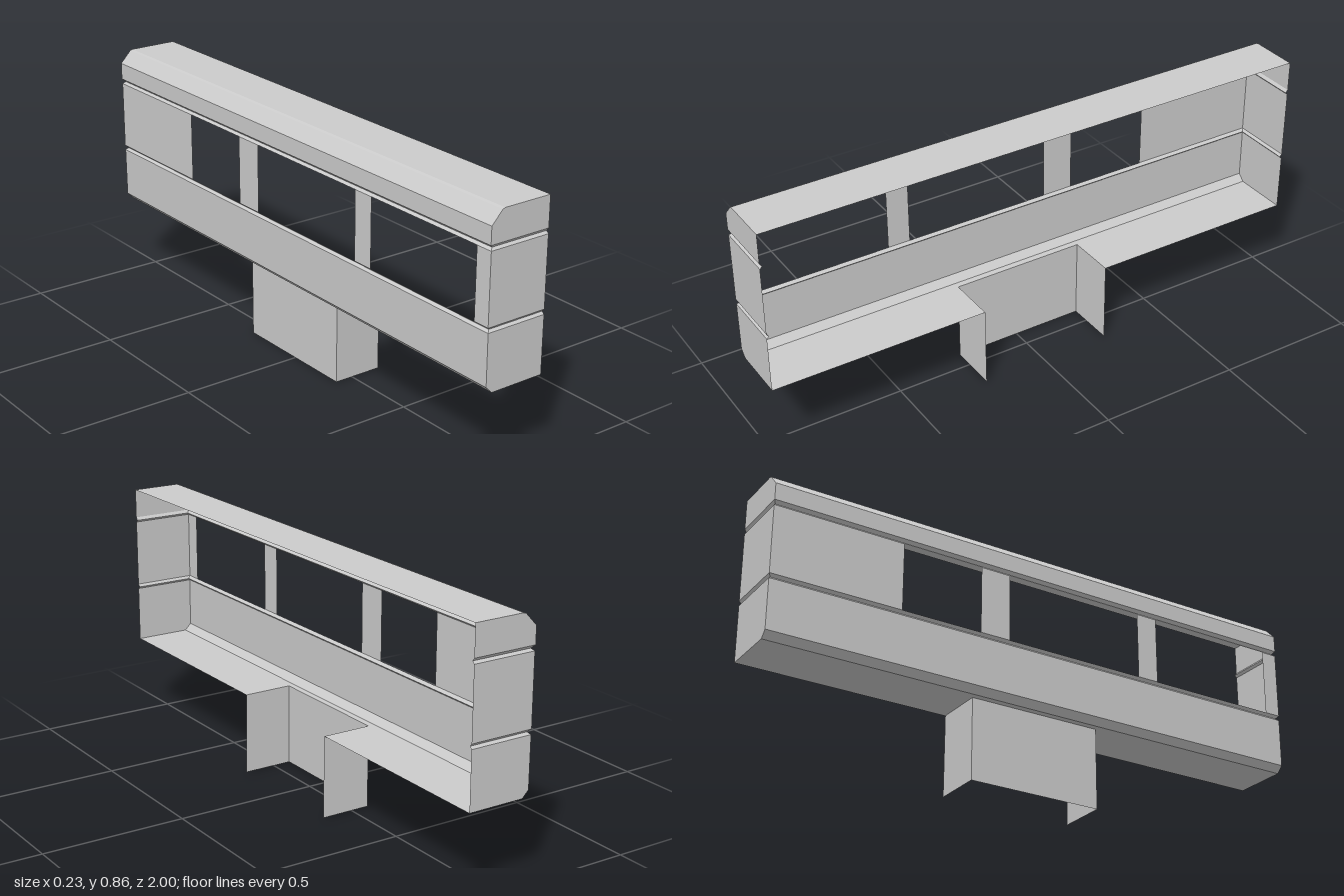
import * as THREE from 'three';

const OPEN_X = 0.109; // open side of the shell
const material = new THREE.MeshStandardMaterial({ color: 0xcccccc, flatShading: true, side: THREE.DoubleSide });

// Mesh from a list of quads, each with four [x, y, z] corners
function quadMesh(name, quads) {
  const pos = [];
  for (const [a, b, c, d] of quads) pos.push(...a, ...b, ...c, ...a, ...c, ...d);
  const geo = new THREE.BufferGeometry();
  geo.setAttribute('position', new THREE.Float32BufferAttribute(pos, 3));
  geo.computeVertexNormals();
  const mesh = new THREE.Mesh(geo, material);
  mesh.name = name;
  return mesh;
}

// Horizontal panel, facing up or down
function panel(y, x0, x1, z0, z1, up) {
  const q = [[x0, y, z0], [x0, y, z1], [x1, y, z1], [x1, y, z0]];
  return up ? q : q.reverse();
}

// Strip of shell between two levels { y, x, z }: both end caps and the long wall in [z0, z1] spans
function shellStrip(lo, hi, spans) {
  const quads = [
    [[lo.x, lo.y, lo.z], [OPEN_X, lo.y, lo.z], [OPEN_X, hi.y, hi.z], [hi.x, hi.y, hi.z]],
    [[OPEN_X, lo.y, -lo.z], [lo.x, lo.y, -lo.z], [hi.x, hi.y, -hi.z], [OPEN_X, hi.y, -hi.z]],
  ];
  for (const [a, b] of spans) {
    quads.push([
      [lo.x, lo.y, a * lo.z], [lo.x, lo.y, b * lo.z],
      [hi.x, hi.y, b * hi.z], [hi.x, hi.y, a * hi.z],
    ]);
  }
  return quads;
}

export function createModel() {
  const group = new THREE.Group();
  const level = (y, x, z = 1) => ({ y, x, z });
  const full = [[-1, 1]];
  const pillars = [[-1, -0.54], [-0.25, -0.14], [0.38, 0.46], [0.94, 1]];

  // Cross-section levels of each horizontal band, bottom to top
  const bands = [
    ['lowerBand', full, [level(0.285, -0.088), level(0.308, -0.111), level(0.482, -0.112)]],
    ['lowerGroove', full, [level(0.482, -0.112), level(0.49, -0.103, 0.992), level(0.499, -0.113)]],
    ['windowBand', pillars, [level(0.499, -0.113), level(0.738, -0.113)]],
    ['upperGroove', full, [level(0.738, -0.113), level(0.746, -0.104, 0.992), level(0.756, -0.115)]],
    ['upperBand', full, [level(0.756, -0.115), level(0.815, -0.115), level(0.857, -0.075), level(0.86, -0.066)]],
  ];
  for (const [name, spans, levels] of bands) {
    const quads = [];
    for (let i = 0; i + 1 < levels.length; i++) quads.push(...shellStrip(levels[i], levels[i + 1], spans));
    group.add(quadMesh(name, quads));
  }

  // Roof
  group.add(quadMesh('roof', [panel(0.86, -0.066, OPEN_X, -1, 1, true)]));

  // Floor, cut away above the pedestal
  const px = -0.065, pz0 = -0.25, pz1 = 0.23, floorY = 0.285;
  group.add(quadMesh('floor', [
    panel(floorY, -0.088, OPEN_X, -1, pz0, false),
    panel(floorY, -0.088, px, pz0, pz1, false),
    panel(floorY, -0.088, OPEN_X, pz1, 1, false),
  ]));

  // Pedestal: back wall and two sides, open below
  group.add(quadMesh('pedestal', [
    [[px, 0, pz0], [px, 0, pz1], [px, floorY, pz1], [px, floorY, pz0]],
    [[px, 0, pz1], [0.112, 0, pz1], [OPEN_X, floorY, pz1], [px, floorY, pz1]],
    [[0.112, 0, pz0], [px, 0, pz0], [px, floorY, pz0], [OPEN_X, floorY, pz0]],
  ]));

  return group;
}
